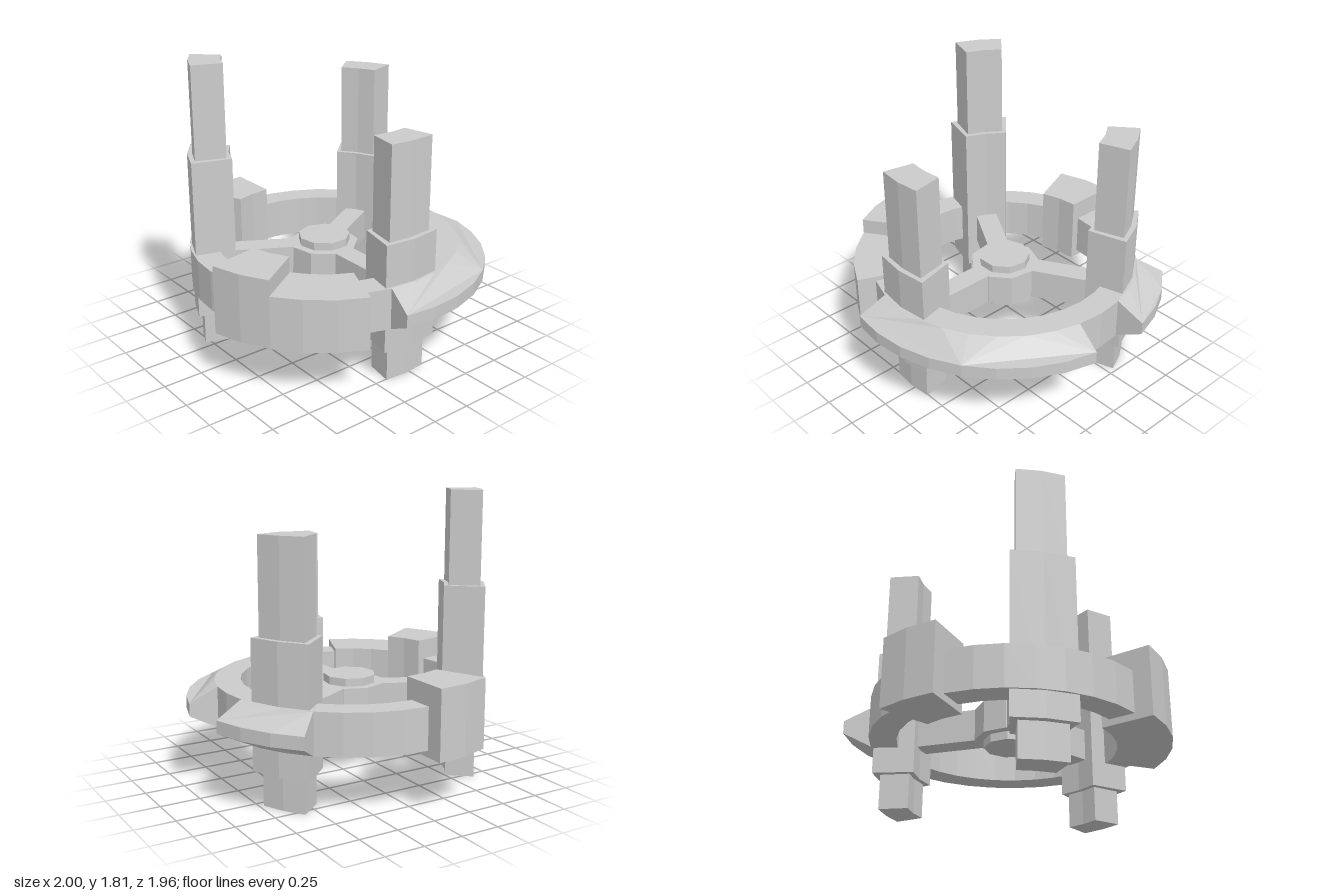
import * as THREE from 'three';

const STEP = Math.PI / 16; // the rings have 32 sides
const material = new THREE.MeshStandardMaterial({ color: 0xcccccc, flatShading: true });

function arc(r, a0, a1, n) {
  const pts = [];
  for (let i = 0; i <= n; i++) {
    const a = a0 + (a1 - a0) * i / n;
    pts.push(new THREE.Vector2(r * Math.cos(a), r * Math.sin(a)));
  }
  return pts;
}

// Extrude a plan shape upwards from y0 to y1
function extrudeUp(shape, y0, y1) {
  const g = new THREE.ExtrudeGeometry(shape, { depth: y1 - y0, bevelEnabled: false });
  return g.rotateX(-Math.PI / 2).translate(0, y0, 0);
}

// Faceted piece of a ring, angles counter-clockwise seen from above
function sector(r0, r1, a0, a1, n, y0, y1) {
  const pts = [...arc(r1, a0, a1, n), ...arc(r0, a0, a1, n).reverse()];
  return extrudeUp(new THREE.Shape(pts), y0, y1);
}

function add(parent, name, geometry) {
  const mesh = new THREE.Mesh(geometry, material);
  mesh.name = name;
  parent.add(mesh);
  return mesh;
}

// Flange piece: a sector whose outer rim is pinched to a thin edge
function flange(from, to) {
  const g = sector(0.855, 1.03, from * STEP, to * STEP, to - from, 0.375, 0.635);
  const p = g.attributes.position;
  for (let i = 0; i < p.count; i++) {
    if (Math.hypot(p.getX(i), p.getZ(i)) > 0.94) {
      p.setY(i, p.getY(i) > 0.5 ? 0.543 : 0.463);
    }
  }
  g.computeVertexNormals();
  return g;
}

export function createModel() {
  const group = new THREE.Group();
  const body = new THREE.Group();
  body.name = 'body';
  body.position.set(-0.03, 0, 0.03);
  group.add(body);

  // Main ring
  const ring = new THREE.Shape(arc(0.855, 0, 31 * STEP, 31));
  ring.holes.push(new THREE.Path(arc(0.69, 0, 31 * STEP, 31).reverse()));
  add(body, 'ring', extrudeUp(ring, 0.375, 0.635));

  // Tapered flanges and thick blocks, positions counted in ring sides
  add(body, 'longFlange', flange(-1, 7));
  add(body, 'shortFlange', flange(9, 12));
  for (const [name, from, to, top] of [
    ['sideBlock', 16, 18, 0.765],
    ['tallFrontBlock', 25, 27, 0.765],
    ['lowFrontBlock', 27, 30, 0.665],
  ]) {
    add(body, name, sector(0.64, 0.97, from * STEP, to * STEP, to - from, 0.335, top));
  }

  // Hub with a raised core
  const hubTurn = Math.PI / 9;
  for (const [name, r, y0, y1] of [['hub', 0.22, 0.4, 0.6], ['hubCore', 0.165, 0.35, 0.65]]) {
    const shape = new THREE.Shape(arc(r, hubTurn, hubTurn * 17, 8));
    add(body, name, extrudeUp(shape, y0, y1));
  }

  // Three arms, each ending in a stepped post of its own height
  [[0.9, 1.48], [1.01, 1.595], [1.23, 1.81]].forEach(([shoulder, top], i) => {
    const spoke = new THREE.Group();
    spoke.name = 'spoke';
    spoke.rotation.y = i * Math.PI * 2 / 3;
    body.add(spoke);
    add(spoke, 'arm', new THREE.BoxGeometry(0.5, 0.2, 0.14).translate(0.4, 0.5, 0));
    add(spoke, 'postFoot', sector(0.62, 0.8, -0.18, 0.18, 2, 0, 0.215));
    add(spoke, 'postSleeve', sector(0.59, 0.842, -0.232, 0.232, 2, 0.215, shoulder));
    add(spoke, 'postTop', sector(0.617, 0.81, -0.189, 0.189, 2, shoulder, top));
  });

  return group;
}
